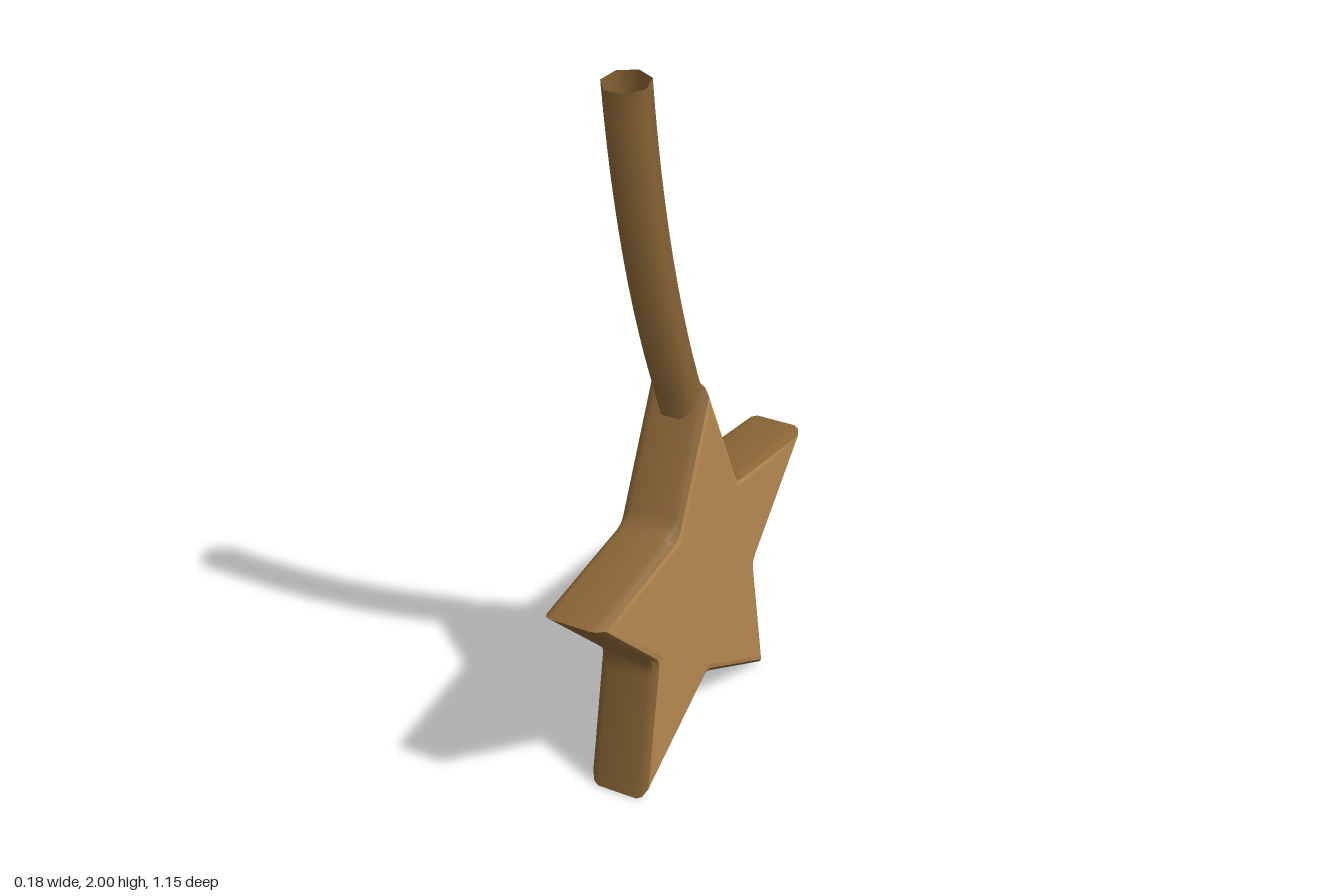
import * as THREE from 'three';
import { mergeVertices, toCreasedNormals } from 'three/addons/utils/BufferGeometryUtils.js';

const CENTER_Y = 0.49, OUTER = 0.602, INNER = 0.297;
const ARC = 4; // segments of each rounded inner corner

// Star outline in (z, y), inset by d, inner corners rounded over length round
function starOutline(d, round) {
  const tip = [], notch = [];
  const polar = (r, a) => new THREE.Vector2(r * Math.sin(a), CENTER_Y + r * Math.cos(a));
  for (let i = 0; i < 5; i++) {
    tip.push(polar(OUTER - d * 2.2, i * Math.PI * 0.4));
    notch.push(polar(INNER - d * 1.13, (i + 0.5) * Math.PI * 0.4));
  }
  const points = [];
  for (let i = 0; i < 5; i++) {
    const corner = notch[i], next = tip[(i + 1) % 5];
    const toward = (p) => corner.clone().add(p.clone().sub(corner).setLength(round));
    points.push(tip[i], ...new THREE.QuadraticBezierCurve(toward(tip[i]), corner, toward(next)).getPoints(ARC));
  }
  return points;
}

// Joins consecutive levels [x, inset, rounding] into a band
function starBand(levels) {
  const positions = [], index = [];
  const n = 5 * (ARC + 2);
  for (const [x, d, round] of levels) {
    for (const p of starOutline(d, round)) positions.push(x, p.y, p.x);
  }
  for (let l = 0; l < levels.length - 1; l++) {
    for (let i = 0; i < n; i++) {
      const a = l * n + i, b = l * n + (i + 1) % n;
      index.push(a, a + n, b, b, a + n, b + n);
    }
  }
  const geometry = new THREE.BufferGeometry();
  geometry.setAttribute('position', new THREE.Float32BufferAttribute(positions, 3));
  geometry.setIndex(index);
  return toCreasedNormals(geometry, 0.6);
}

// Flat star face, turned to look along +x or -x
function starFace(side, [x, d, round]) {
  const shape = new THREE.Shape(starOutline(d, round).map((p) => new THREE.Vector2(-p.x * side, p.y)));
  return new THREE.ShapeGeometry(shape).rotateY(side * Math.PI / 2).translate(x * side, 0, 0);
}

// Open seven-sided tube swept along a curve in the yz plane
function stemGeometry() {
  const curve = new THREE.QuadraticBezierCurve3(
    new THREE.Vector3(0, 1.025, 0), new THREE.Vector3(0, 1.468, 0.195), new THREE.Vector3(0, 1.992, 0.26));
  const sides = 7, steps = 12, radius = 0.062;
  const positions = [], index = [];
  for (let s = 0; s <= steps; s++) {
    const p = curve.getPoint(s / steps), t = curve.getTangent(s / steps);
    for (let i = 0; i < sides; i++) {
      const a = i / sides * Math.PI * 2;
      const u = -radius * Math.cos(a), w = radius * Math.sin(a);
      positions.push(w, p.y - u * t.z, p.z + u * t.y);
      if (s < steps) {
        const b = s * sides + i, c = s * sides + (i + 1) % sides;
        index.push(b, b + sides, c, c, b + sides, c + sides);
      }
    }
  }
  const geometry = new THREE.BufferGeometry();
  geometry.setAttribute('position', new THREE.Float32BufferAttribute(positions, 3));
  geometry.setIndex(index);
  const smooth = mergeVertices(geometry);
  smooth.computeVertexNormals();
  return smooth;
}

export function createModel() {
  const group = new THREE.Group();
  const lightWood = new THREE.MeshStandardMaterial({ color: 0xb58850 });
  lightWood.name = 'light wood';
  const darkWood = new THREE.MeshStandardMaterial({ color: 0x8a6536, side: THREE.DoubleSide });
  darkWood.name = 'dark wood';
  const add = (name, geometry, material) => {
    const mesh = new THREE.Mesh(geometry, material);
    mesh.name = name;
    group.add(mesh);
  };

  // Star body: rounded bevel levels from the rim to the face
  const rim = [0.058, 0, 0.045], shoulder = [0.073, 0.004, 0.04];
  const edge = [0.084, 0.015, 0.025], face = [0.088, 0.028, 0.008];
  const flip = ([x, d, round]) => [-x, d, round];
  add('starRim', starBand([edge, shoulder, rim, flip(rim), flip(shoulder), flip(edge)]), darkWood);
  add('leftBevel', starBand([face, edge]), lightWood);
  add('rightBevel', starBand([flip(edge), flip(face)]), lightWood);
  add('leftStarFace', starFace(1, face), lightWood);
  add('rightStarFace', starFace(-1, face), lightWood);

  // Curved stem rising from the top point
  add('stem', stemGeometry(), darkWood);
  return group;
}
